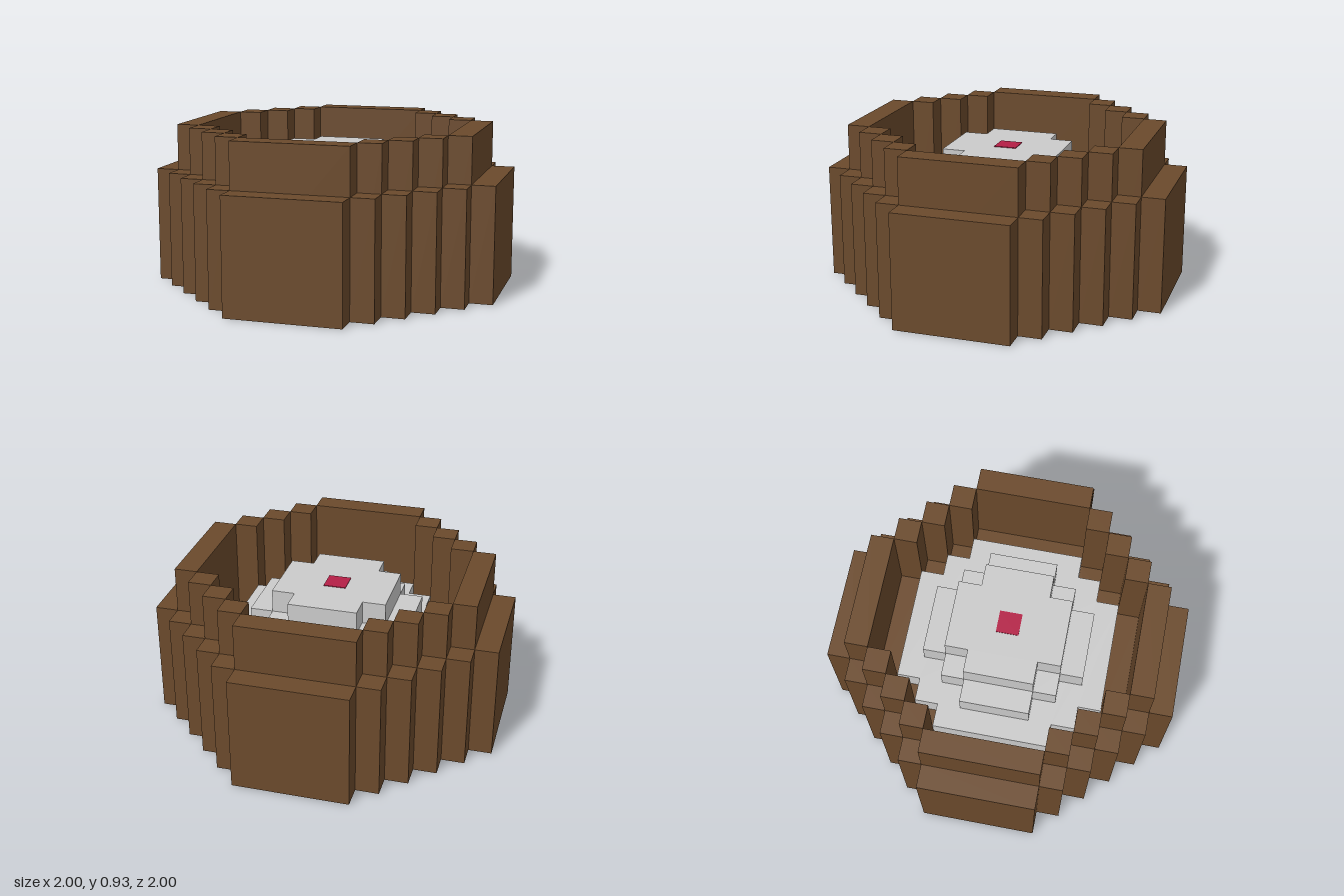
import * as THREE from 'three';

const U = 2 / 15; // one block

const mat = (name, color) => Object.assign(new THREE.MeshStandardMaterial({ color }), { name });

// Stepped round slab: radius r and half-length of the flat sides, in blocks
function slab(name, material, r, flat, y0, y1) {
  const quarter = [];
  for (let x = r, z = flat; x >= flat; x--, z++) {
    quarter.push([x, z]);
    if (x > flat) quarter.push([x - 1, z]);
  }
  const points = [];
  for (let q = 0; q < 4; q++) {
    for (const [x, z] of quarter) {
      points.push(new THREE.Vector2(x * U, z * U).rotateAround(new THREE.Vector2(), q * Math.PI / 2));
    }
  }
  const geo = new THREE.ExtrudeGeometry(new THREE.Shape(points), { depth: (y1 - y0) * U, bevelEnabled: false });
  geo.rotateX(-Math.PI / 2).translate(0, y0 * U, 0);
  const mesh = new THREE.Mesh(geo, material);
  mesh.name = name;
  return mesh;
}

// Ring one block thick: four straight panels joined by diagonal rows of columns
function ring(name, material, r, flat, y0, y1) {
  const group = new THREE.Group();
  group.name = name;
  const h = y1 - y0;
  const block = (part, w, d, x, z) => {
    const mesh = new THREE.Mesh(new THREE.BoxGeometry(w * U, h * U, d * U), material);
    mesh.position.set(x * U, (y0 + h / 2) * U, z * U);
    mesh.name = part;
    group.add(mesh);
  };
  const mid = r - 0.5;
  for (const s of [-1, 1]) {
    block('sidePanel', 1, flat * 2, s * mid, 0);
    block('endPanel', flat * 2, 1, 0, s * mid);
    for (const t of [-1, 1]) {
      for (let x = mid - 1, z = flat + 0.5; x > flat; x--, z++) block('cornerColumn', 1, 1, s * x, t * z);
    }
  }
  return group;
}

export function createModel() {
  const brown = mat('brown', 0x6b4a2c);
  const paleGrey = mat('paleGrey', 0xcbcbcb);
  const red = mat('red', 0xb41f46);

  const model = new THREE.Group();
  model.name = 'steppedBowl';

  // Bowl: low outer wall that also forms the foot, taller inner wall, raised floor
  model.add(
    ring('outerWall', brown, 7.5, 2.5, 0, 5),
    ring('innerWall', brown, 6.5, 2.5, 1, 7),
    slab('floor', brown, 5.5, 2.5, 1, 3),
  );

  // Stepped mound inside the bowl
  model.add(
    slab('lowerTier', paleGrey, 4.5, 2.5, 3, 4),
    slab('middleTier', paleGrey, 3.5, 1.5, 4, 5),
    slab('topTier', paleGrey, 2.5, 1.5, 5, 6),
  );

  // Red mark on top of the mound
  const mark = new THREE.Mesh(new THREE.BoxGeometry(0.13, 0.004, 0.13), red);
  mark.position.y = 6 * U + 0.002;
  mark.name = 'topMark';
  model.add(mark);

  return model;
}
